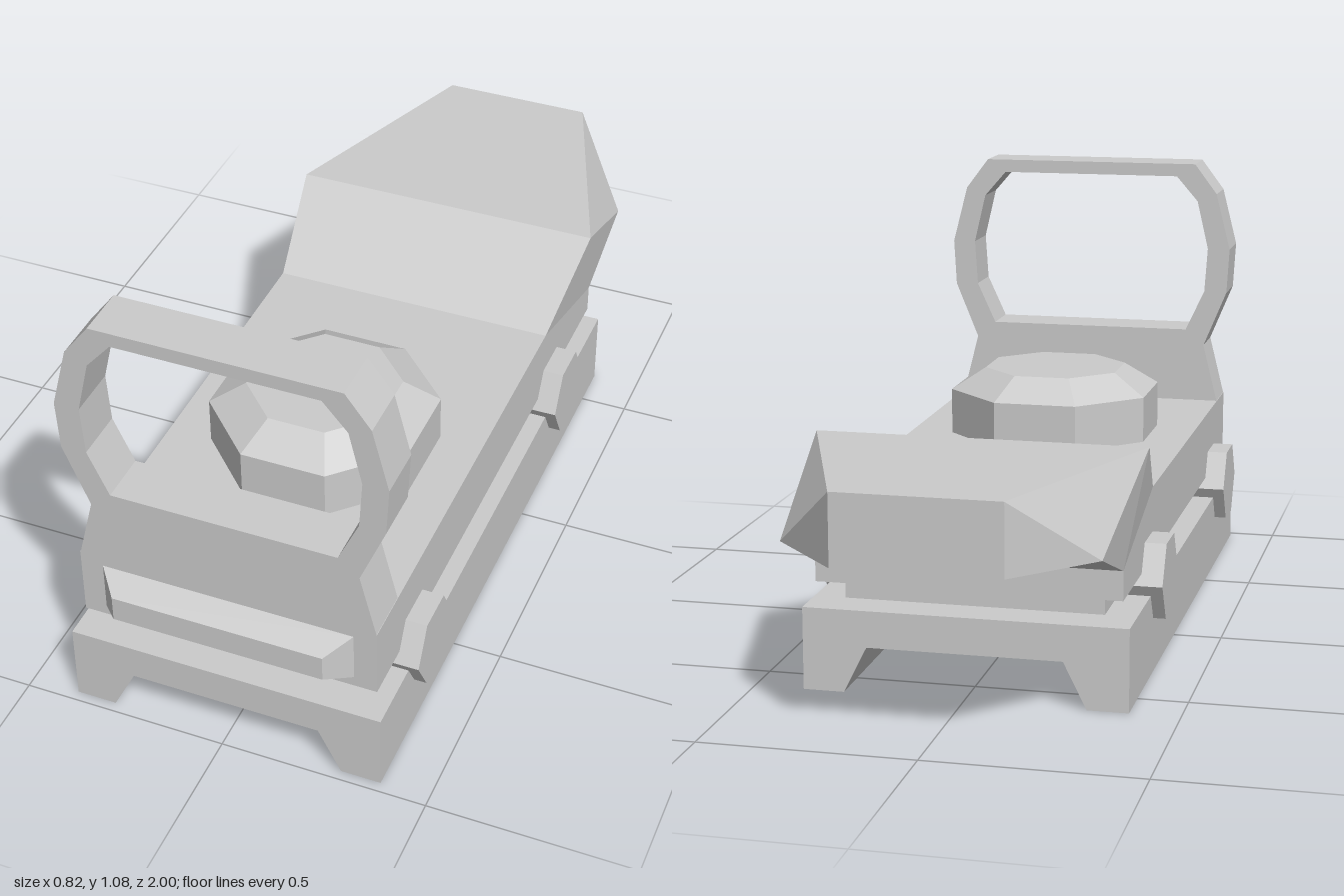
import * as THREE from 'three';

const material = new THREE.MeshStandardMaterial({ color: 0xcccccc, flatShading: true });

function add(group, name, geometry, x = 0, y = 0, z = 0) {
  const mesh = new THREE.Mesh(geometry, material);
  mesh.name = name;
  mesh.position.set(x, y, z);
  group.add(mesh);
  return mesh;
}

// Closed outline from one half, mirrored across x = 0
function mirrored(half) {
  const points = [...half, ...half.map(([x, y]) => [-x, y]).reverse()];
  return points.map(([x, y]) => new THREE.Vector2(x, y));
}

const extrude = (shape, depth) =>
  new THREE.ExtrudeGeometry(shape, { depth, bevelEnabled: false });

// Rear hood: a loop of corners on the +x side, bridged to its mirror image
function hoodGeometry() {
  const half = [
    [0.36, 0.425, -0.2], [0.393, 0.576, -0.44], [0.19, 0.576, -1],
    [0.19, 0.41, -1], [0.36, 0.41, -0.815], [0.36, 0.32, -0.57],
  ];
  const n = half.length;
  const positions = [...half, ...half.map(([x, y, z]) => [-x, y, z])].flat();
  const index = [];
  for (let i = 0; i < n - 1; i++) {
    index.push(i, i + 1, i + 1 + n, i, i + 1 + n, i + n);
  }
  for (const [a, b, c] of [[0, 5, 1], [5, 4, 1], [1, 4, 2], [4, 3, 2]]) {
    index.push(a, b, c, a + n, c + n, b + n);
  }
  const geometry = new THREE.BufferGeometry();
  geometry.setAttribute('position', new THREE.Float32BufferAttribute(positions, 3));
  geometry.setIndex(index);
  const flat = geometry.toNonIndexed();
  flat.computeVertexNormals();
  return flat;
}

// Box whose front face is drawn in to a smaller rectangle
function bezelGeometry() {
  const geometry = new THREE.BoxGeometry(0.61, 0.124, 0.06);
  const p = geometry.attributes.position;
  for (let i = 0; i < p.count; i++) {
    if (p.getZ(i) > 0) p.setXY(i, Math.sign(p.getX(i)) * 0.255, Math.sign(p.getY(i)) * 0.032);
  }
  geometry.computeVertexNormals();
  return geometry;
}

export function createModel() {
  const group = new THREE.Group();
  group.name = 'reflexSight';

  // Mounting rail with a flared channel underneath
  const rail = new THREE.Shape(mirrored([[0.23, 0.11], [0.285, 0], [0.382, 0], [0.382, 0.197]]));
  add(group, 'mountRail', extrude(rail, 1.58), 0, 0, -0.605);
  add(group, 'spacerPlate', new THREE.BoxGeometry(0.614, 0.07, 1.4), 0, 0.223, 0.19);

  // Main body: side profile (x = -z) extruded across the width
  const profile = [[-0.94, 0.25], [0.57, 0.25], [0.57, 0.32], [0.2, 0.425], [-0.94, 0.425]];
  const body = extrude(new THREE.Shape(profile.map(([u, y]) => new THREE.Vector2(u, y))), 0.72);
  body.translate(0, 0, -0.36).rotateY(Math.PI / 2);
  add(group, 'body', body);
  add(group, 'rearHood', hoodGeometry());

  // Upright lens frame with an open window
  const frame = new THREE.Shape(mirrored([
    [0.36, 0.42], [0.32, 0.58], [0.381, 0.728], [0.388, 0.848], [0.35, 0.998], [0.29, 1.078],
  ]));
  frame.holes.push(new THREE.Path(mirrored([
    [0.27, 0.622], [0.32, 0.73], [0.328, 0.848], [0.298, 0.977], [0.24, 1.044],
  ])));
  add(group, 'lensFrame', extrude(frame, 0.125), 0, 0, 0.815);
  add(group, 'frontBezel', bezelGeometry(), 0, 0.338, 0.97);

  // Octagonal adjustment dial with a chamfered top
  const dial = new THREE.Group();
  dial.name = 'dial';
  dial.position.z = 0.37;
  dial.rotation.y = Math.PI / 8;
  add(dial, 'dialBase', new THREE.CylinderGeometry(0.273, 0.273, 0.125, 8), 0, 0.4775, 0);
  add(dial, 'dialCap', new THREE.CylinderGeometry(0.184, 0.273, 0.055, 8), 0, 0.5675, 0);
  group.add(dial);

  // Hexagonal clamp bolts on both sides
  for (const side of [-1, 1]) {
    for (const z of [0.715, -0.25]) {
      const bolt = add(group, 'clampBolt', new THREE.CylinderGeometry(0.105, 0.105, 0.11, 6),
        side * 0.357, 0.224, z);
      bolt.rotation.z = Math.PI / 2;
    }
  }
  return group;
}
